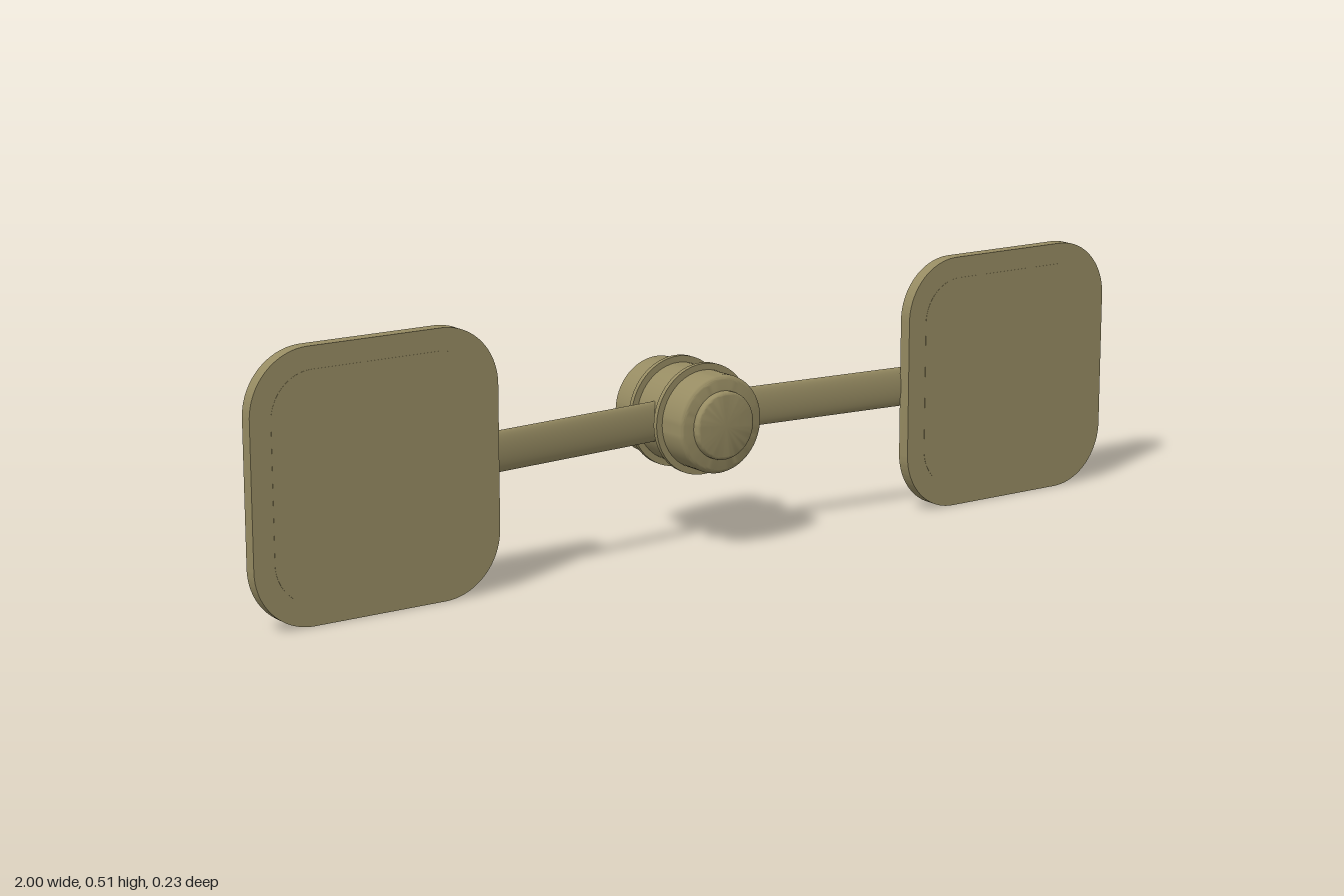
import * as THREE from 'three';
import { toCreasedNormals } from 'three/addons/utils/BufferGeometryUtils.js';

const CY = 0.258; // height of the hub axis

// Rounded square centred on the origin
function roundedSquare(half, r) {
  const s = new THREE.Shape();
  s.moveTo(half, -half + r);
  s.absarc(half - r, half - r, r, 0, Math.PI / 2);
  s.absarc(-half + r, half - r, r, Math.PI / 2, Math.PI);
  s.absarc(-half + r, -half + r, r, Math.PI, Math.PI * 1.5);
  s.absarc(half - r, -half + r, r, Math.PI * 1.5, Math.PI * 2);
  return s;
}

// Flat plate made from a rounded square, standing in the xy plane
function plate(half, r, depth) {
  const g = new THREE.ExtrudeGeometry(roundedSquare(half, r), { depth, bevelEnabled: false, curveSegments: 16 });
  return toCreasedNormals(g, 0.5);
}

// Solid of revolution along z, from [radius, z] pairs
function turned(profile) {
  const g = new THREE.LatheGeometry(profile.map(([r, z]) => new THREE.Vector2(r, z)), 64);
  g.rotateX(Math.PI / 2);
  return toCreasedNormals(g, 0.5);
}

// Edge fillet from the side of a disc to its front face
function fillet(radius, z, f) {
  return Array.from({ length: 7 }, (_, i) => {
    const a = (i / 6) * Math.PI / 2;
    return [radius - f + f * Math.cos(a), z - f + f * Math.sin(a)];
  });
}

export function createModel() {
  const model = new THREE.Group();
  model.name = 'twoPaddleRotor';
  const olive = new THREE.MeshStandardMaterial({ color: 0x968b62 });
  olive.name = 'olive';

  const add = (name, geometry, x, y, z) => {
    const mesh = new THREE.Mesh(geometry, olive);
    mesh.name = name;
    mesh.position.set(x, y, z);
    model.add(mesh);
    return mesh;
  };

  // Hub body and its front cap
  add('hub', turned([[0, -0.117], [0.097, -0.117], ...fillet(0.097, 0.104, 0.012), [0, 0.104]]), 0, CY, 0);
  add('hubCap', turned([[0, 0.09], [0.067, 0.09], ...fillet(0.067, 0.118, 0.007), [0, 0.118]]), 0, CY, 0);

  // Thin collars round the hub
  for (const [z0, z1] of [[0.032, 0.042], [-0.053, -0.043]]) {
    add('collar', turned([[0.09, z0], [0.11, z0], [0.11, z1], [0.09, z1]]), 0, CY, 0);
  }

  for (const side of [1, -1]) {
    const label = side > 0 ? 'left' : 'right';

    // Paddle with a faint inset panel on its front
    add(label + 'Paddle', plate(0.2575, 0.12, 0.027), side * 0.7425, CY, 0.045);
    add(label + 'PaddlePanel', plate(0.215, 0.085, 0.001), side * 0.7425, CY, 0.0715);

    // Flattened arm sloping forward from the hub into the paddle
    const start = new THREE.Vector3(side * 0.03, 0, -0.002);
    const end = new THREE.Vector3(side * 0.73, 0, 0.058);
    const arm = new THREE.CylinderGeometry(1, 1, start.distanceTo(end), 40);
    arm.scale(0.011, 1, 0.04);
    arm.rotateX(Math.PI / 2); // length along z, broad side upright
    const mid = start.clone().add(end).multiplyScalar(0.5);
    const mesh = add(label + 'Arm', arm, mid.x, CY, mid.z);
    mesh.rotation.y = Math.atan2(end.x - start.x, end.z - start.z);
  }
  return model;
}
